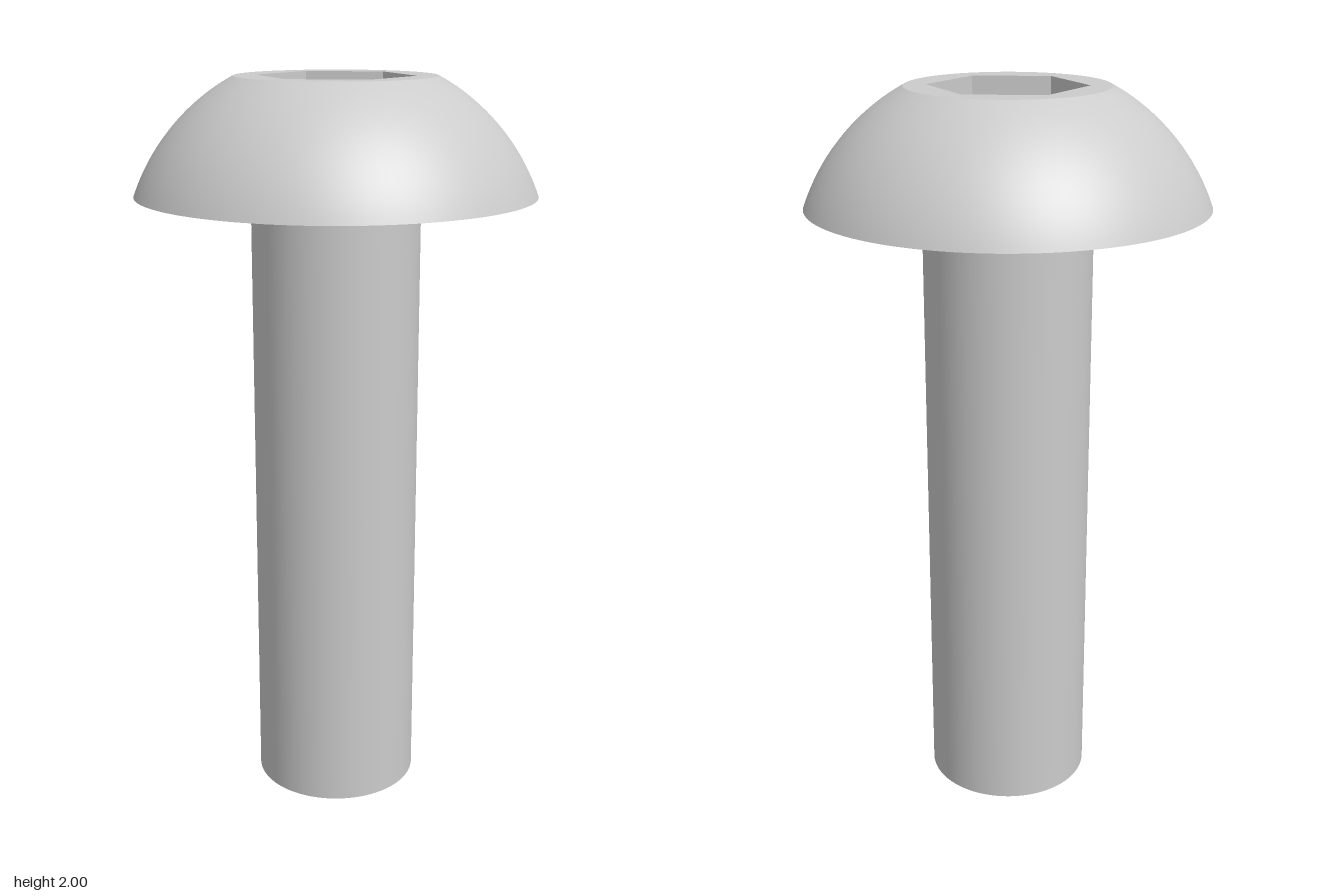
import * as THREE from 'three';

const SEGMENTS = 96;
const SHANK_R = 0.226, HEAD_R = 0.533, TOP_R = 0.267;
const HEAD_Y = 1.695, TOP_Y = 2;
const HEX_R = 0.21, SOCKET_DEPTH = 0.23;

export function createModel() {
  const group = new THREE.Group();
  const grey = new THREE.MeshStandardMaterial({ color: 0xcccccc });
  const inside = new THREE.MeshStandardMaterial({ color: 0xcccccc, flatShading: true, side: THREE.BackSide });

  const add = (name, geometry, y, material = grey) => {
    const mesh = new THREE.Mesh(geometry, material);
    mesh.name = name;
    mesh.position.y = y;
    group.add(mesh);
  };

  // Plain round shank with a flat end
  add('shank', new THREE.CylinderGeometry(SHANK_R, SHANK_R, HEAD_Y, SEGMENTS), HEAD_Y / 2);

  // Domed head: an arc of a sphere centred on the axis below the head
  const h = TOP_Y - HEAD_Y;
  const drop = (HEAD_R ** 2 - TOP_R ** 2 - h ** 2) / (2 * h);
  const radius = Math.hypot(HEAD_R, drop);
  const start = Math.atan2(drop, HEAD_R);
  const end = Math.atan2(drop + h, TOP_R);
  const profile = [];
  for (let i = 0; i <= 24; i++) {
    const a = start + (end - start) * i / 24;
    profile.push(new THREE.Vector2(radius * Math.cos(a), radius * Math.sin(a) - drop));
  }
  add('headDome', new THREE.LatheGeometry(profile, SEGMENTS), HEAD_Y);

  // Flat underside of the head
  add('headUnderside', new THREE.RingGeometry(SHANK_R, HEAD_R, SEGMENTS).rotateX(Math.PI / 2), HEAD_Y);

  // Flat top with a hexagonal opening, corners on the x axis
  const top = new THREE.Shape().absarc(0, 0, TOP_R, 0, Math.PI * 2);
  const corners = [];
  for (let i = 0; i < 6; i++) {
    const a = -i * Math.PI / 3;
    corners.push(new THREE.Vector2(HEX_R * Math.cos(a), HEX_R * Math.sin(a)));
  }
  top.holes.push(new THREE.Path(corners));
  add('headTop', new THREE.ShapeGeometry(top, SEGMENTS).rotateX(-Math.PI / 2), TOP_Y);

  // Hexagonal socket: inward-facing walls and a floor
  const walls = new THREE.CylinderGeometry(HEX_R, HEX_R, SOCKET_DEPTH, 6, 1, true).rotateY(Math.PI / 2);
  add('socketWalls', walls, TOP_Y - SOCKET_DEPTH / 2, inside);
  add('socketFloor', new THREE.CircleGeometry(HEX_R, 6).rotateX(-Math.PI / 2), TOP_Y - SOCKET_DEPTH);

  return group;
}
